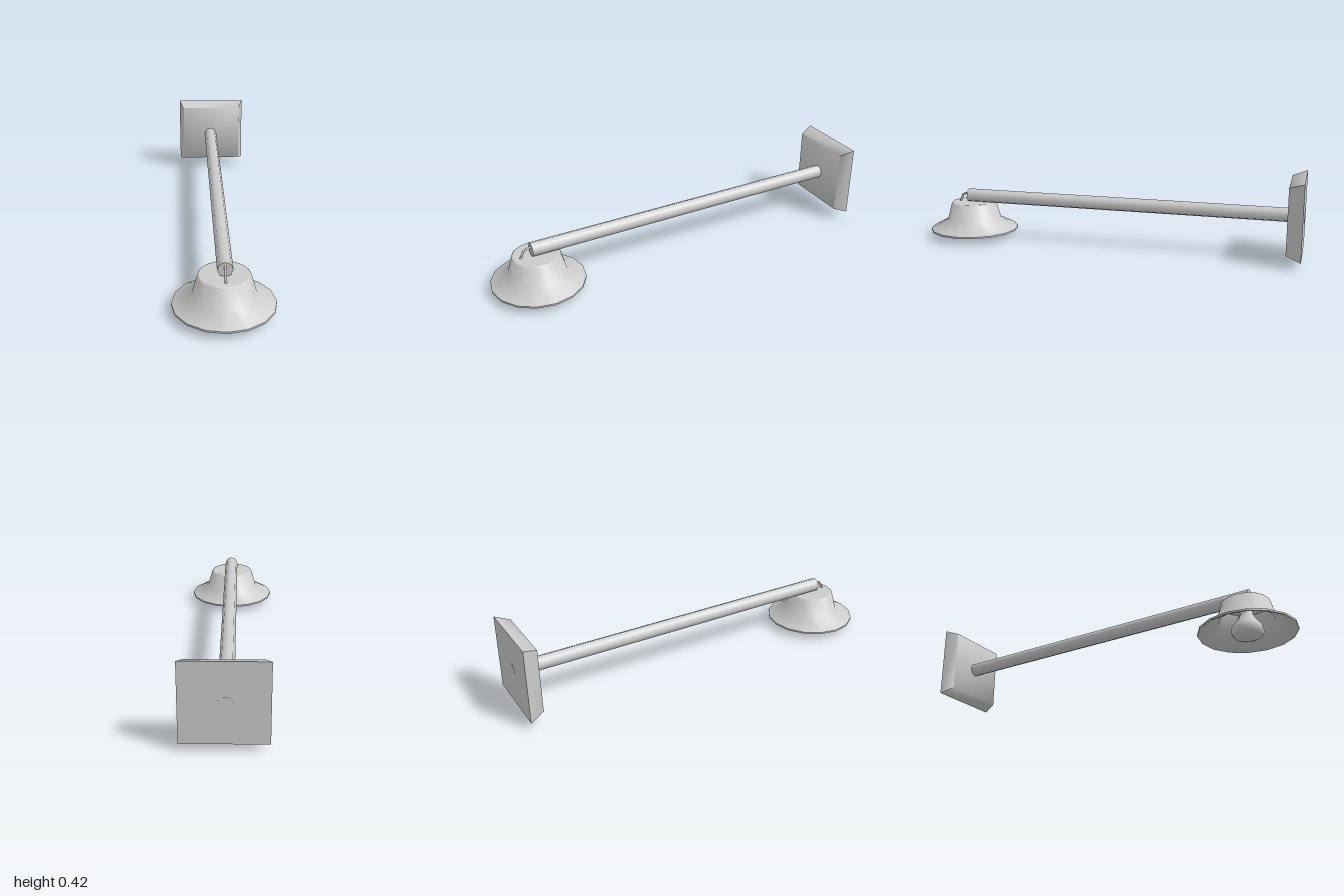
import * as THREE from 'three';
import { toCreasedNormals } from 'three/addons/utils/BufferGeometryUtils.js';

const material = new THREE.MeshStandardMaterial({ color: 0xcccccc });
const LAMP_Z = 0.765;

function part(name, geometry, x = 0, y = 0, z = 0) {
  const mesh = new THREE.Mesh(geometry, material);
  mesh.name = name;
  mesh.position.set(x, y, z);
  return mesh;
}

function lathe(points, segments, crease) {
  const profile = points.map(([r, y]) => new THREE.Vector2(r, y));
  return toCreasedNormals(new THREE.LatheGeometry(profile, segments), crease);
}

// Square wall plate whose front face is drawn in on all sides
function plateGeometry() {
  const geometry = new THREE.BoxGeometry(0.388, 0.38, 0.073);
  const p = geometry.attributes.position;
  for (let i = 0; i < p.count; i++) {
    if (p.getZ(i) > 0) p.setXY(i, p.getX(i) * 0.875, p.getY(i) * 0.865);
  }
  return toCreasedNormals(geometry, 1.4);
}

export function createModel() {
  const group = new THREE.Group();
  group.name = 'wallLamp';

  group.add(part('wallPlate', plateGeometry(), 0.008, 0.226, -0.9625));

  // Eight-sided arm, running through the plate to its back
  const arm = new THREE.CylinderGeometry(0.036, 0.036, 1.79, 8);
  arm.rotateX(Math.PI / 2);
  group.add(part('arm', arm, 0.003, 0.222, -0.105));

  // Short bent wire from the arm's end to the shade
  const wirePath = new THREE.CurvePath();
  const bends = [[0.235, 0.76], [0.235, 0.79], [0.226, 0.825], [0.18, 0.848]]
    .map(([y, z]) => new THREE.Vector3(0.003, y, z));
  for (let i = 1; i < bends.length; i++) wirePath.add(new THREE.LineCurve3(bends[i - 1], bends[i]));
  group.add(part('wire', new THREE.TubeGeometry(wirePath, 12, 0.006, 6)));

  // Hollow shade: down the inside, around the rim and up the outside
  group.add(part('shade', lathe([
    [0, 0.176], [0.108, 0.176], [0.134, 0.09], [0.228, 0.035],
    [0.236, 0.035], [0.236, 0.044], [0.145, 0.092], [0.12, 0.183],
    [0.115, 0.188], [0.108, 0.188], [0, 0.188],
  ], 16, 0.9), 0, 0, LAMP_Z));

  // Bulb with a neck up into the shade
  group.add(part('bulb', lathe([
    [0, 0], [0.032, 0.002], [0.066, 0.016], [0.079, 0.04],
    [0.072, 0.068], [0.045, 0.1], [0.03, 0.13], [0.03, 0.178],
  ], 12, 1.0), 0, 0, LAMP_Z));

  return group;
}
